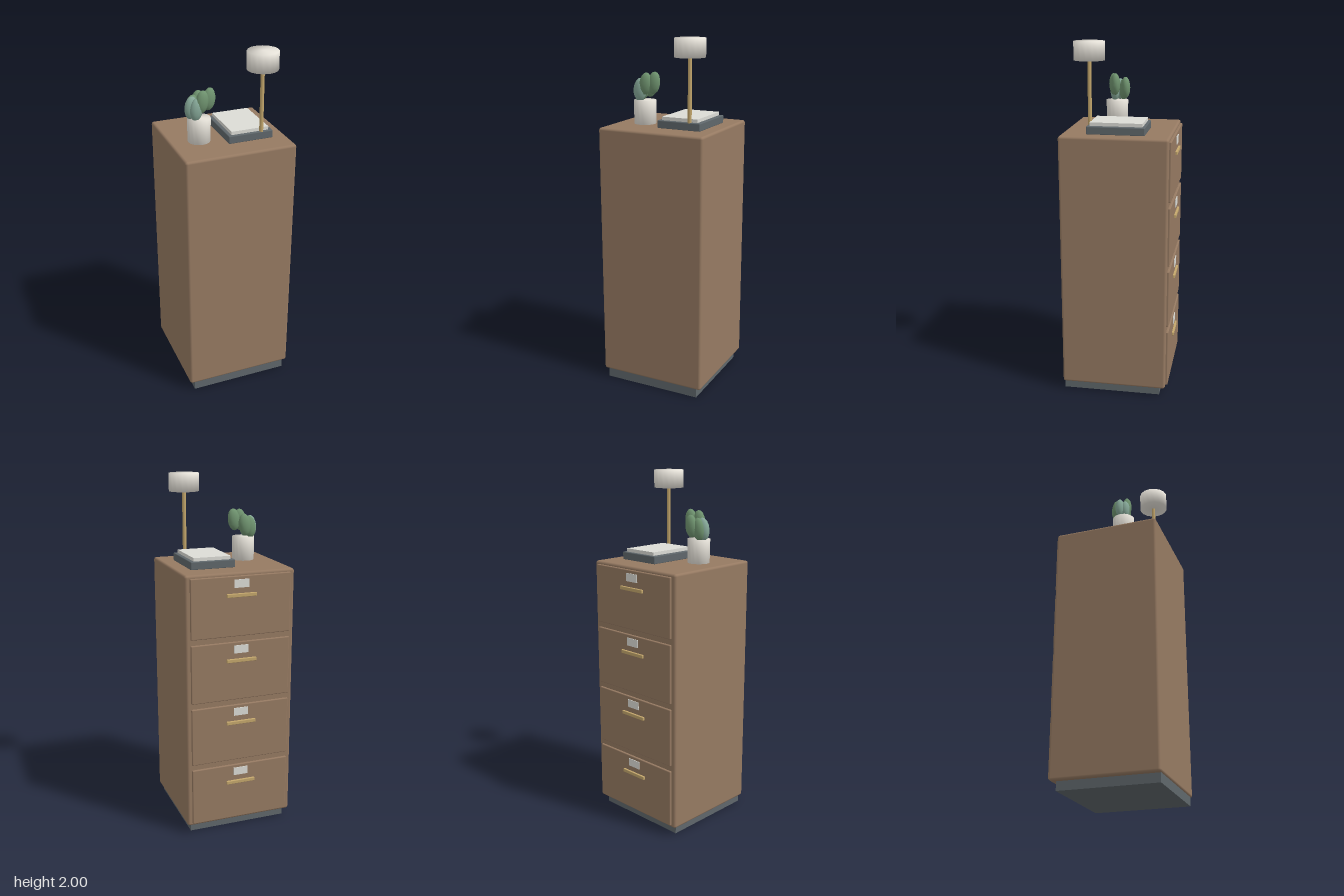
import * as THREE from 'three';
import { RoundedBoxGeometry } from 'three/addons/geometries/RoundedBoxGeometry.js';

const mat = (color) => new THREE.MeshStandardMaterial({ color });
const wood = mat(0x967a62), slate = mat(0x5f676b), cream = mat(0xe6e2d9), paper = mat(0xdcdcd6);
const brass = mat(0xc4a76c), green = mat(0x6f936f), paleGreen = mat(0x86a898);

export function createModel() {
  const model = new THREE.Group();
  model.name = 'filingCabinet';

  const add = (name, geometry, material, x, y, z, parent = model) => {
    const mesh = new THREE.Mesh(geometry, material);
    mesh.name = name;
    mesh.position.set(x, y, z);
    parent.add(mesh);
    return mesh;
  };
  // box given by its limits; r > 0 softens the edges
  const box = (name, material, [x0, x1], [y0, y1], [z0, z1], r = 0, parent = model) => {
    const s = [x1 - x0, y1 - y0, z1 - z0];
    const geometry = r ? new RoundedBoxGeometry(...s, 2, r) : new THREE.BoxGeometry(...s);
    return add(name, geometry, material, (x0 + x1) / 2, (y0 + y1) / 2, (z0 + z1) / 2, parent);
  };
  // closed round body with softly shaded rims
  const drum = (rBottom, rTop, h, sides) => new THREE.LatheGeometry([
    new THREE.Vector2(0, 0), new THREE.Vector2(rBottom, 0),
    new THREE.Vector2(rTop, h), new THREE.Vector2(0, h),
  ], sides);

  // cabinet
  box('plinth', slate, [-0.288, 0.288], [0, 0.052], [-0.255, 0.303]);
  box('cabinetBody', wood, [-0.315, 0.315], [0.05, 1.51], [-0.29, 0.31], 0.014);

  // four drawers on the back side, each with handle and label holder
  for (let i = 0; i < 4; i++) {
    const y = 0.065 + i * 0.365;
    const drawer = new THREE.Group();
    drawer.name = 'drawer' + (i + 1);
    model.add(drawer);
    box('drawerFront', wood, [-0.288, 0.288], [y, y + 0.333], [-0.302, -0.28], 0.005, drawer);
    box('handle', brass, [-0.086, 0.086], [y + 0.219, y + 0.239], [-0.313, -0.299], 0.003, drawer);
    box('labelHolder', paper, [-0.042, 0.042], [y + 0.27, y + 0.315], [-0.306, -0.299], 0, drawer);
  }

  // tray with a stack of paper
  box('tray', slate, [-0.021, 0.235], [1.508, 1.553], [-0.151, 0.17], 0.005);
  box('paperStack', paper, [0, 0.214], [1.55, 1.572], [-0.136, 0.155]);

  // lamp
  add('lampPole', new THREE.CylinderGeometry(0.011, 0.011, 0.37, 12), brass, 0.17, 1.735, 0.16);
  add('lampShade', drum(0.085, 0.085, 0.1, 16), cream, 0.17, 1.9, 0.16);

  // potted cactus
  add('pot', drum(0.062, 0.064, 0.135, 16), cream, -0.153, 1.508, 0.066);
  const pads = [
    [-0.142, 1.715, 0.016, green], [-0.18, 1.70, 0.034, green],
    [-0.095, 1.74, 0.067, green], [-0.14, 1.735, 0.084, green],
    [-0.193, 1.70, 0.056, paleGreen], [-0.172, 1.695, 0.083, paleGreen],
  ];
  for (const [x, y, z, material] of pads) {
    const pad = add('cactusPad', new THREE.SphereGeometry(1, 12, 8), material, x, y, z);
    pad.scale.set(0.036, 0.063, 0.027);
    pad.rotation.set(0, 0.12, -0.12);
  }
  return model;
}
